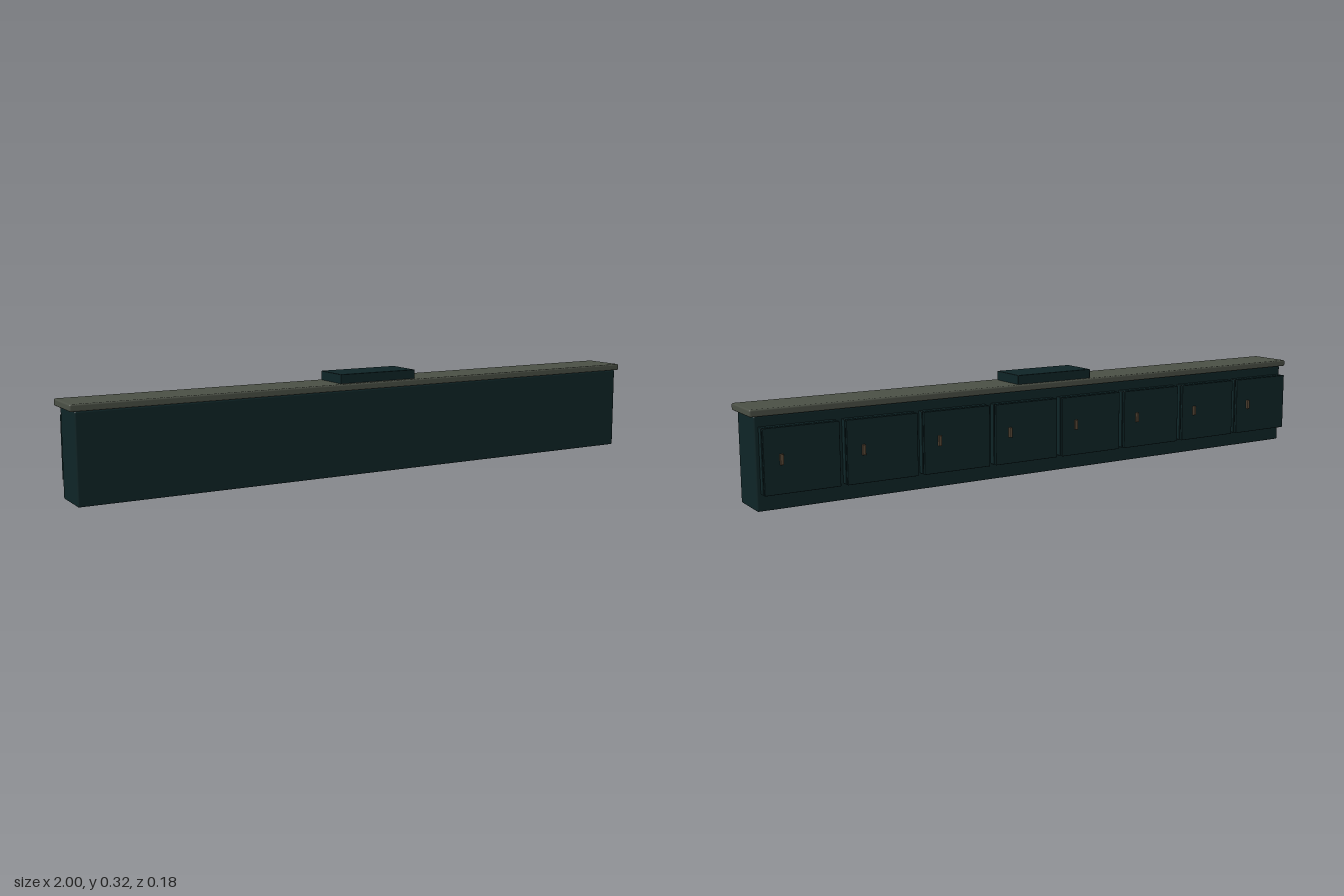
import * as THREE from 'three';
import { RoundedBoxGeometry } from 'three/addons/geometries/RoundedBoxGeometry.js';

const paint = new THREE.MeshStandardMaterial({ color: 0x0e2426 });
paint.name = 'dark teal paint';
const stone = new THREE.MeshStandardMaterial({ color: 0x4a4f45 });
stone.name = 'grey green stone';
const bronze = new THREE.MeshStandardMaterial({ color: 0x5a4a38 });
bronze.name = 'dull bronze';

// Box with softened edges, given by its lower and upper limits on each axis
function block(name, material, [x0, x1], [y0, y1], [z0, z1], bevel) {
  const geometry = new RoundedBoxGeometry(x1 - x0, y1 - y0, z1 - z0, 2, bevel);
  const mesh = new THREE.Mesh(geometry, material);
  mesh.name = name;
  mesh.position.set((x0 + x1) / 2, (y0 + y1) / 2, (z0 + z1) / 2);
  return mesh;
}

// One cupboard door, centred on x = 0, opening towards the back
function createDoor() {
  const door = new THREE.Group();
  door.name = 'cupboardDoor';
  door.add(
    block('doorFrame', paint, [-0.113, 0.113], [0.05, 0.24], [-0.068, -0.045], 0.002),
    block('doorCore', paint, [-0.09, 0.09], [0.065, 0.225], [-0.075, -0.065], 0.001),
    block('doorPanel', paint, [-0.113, 0.113], [0.05, 0.24], [-0.082, -0.072], 0.002),
    block('handle', bronze, [0.057, 0.067], [0.134, 0.165], [-0.089, -0.08], 0.001)
  );
  return door;
}

export function createModel() {
  const model = new THREE.Group();
  model.name = 'counter';

  // Long cabinet, overhanging worktop and the raised slab on it
  model.add(
    block('cabinet', paint, [-0.985, 0.985], [0, 0.27], [-0.049, 0.085], 0.005),
    block('worktop', stone, [-1, 1], [0.27, 0.291], [-0.061, 0.09], 0.005),
    block('raisedSlab', paint, [-0.139, 0.135], [0.29, 0.32], [-0.053, 0.073], 0.002)
  );

  // Row of eight doors along the back
  for (let i = 0; i < 8; i++) {
    const door = createDoor();
    door.position.x = (i - 3.5) * 0.2463 - 0.002;
    // Handles stay on the same side of every door
    model.add(door);
  }
  return model;
}
